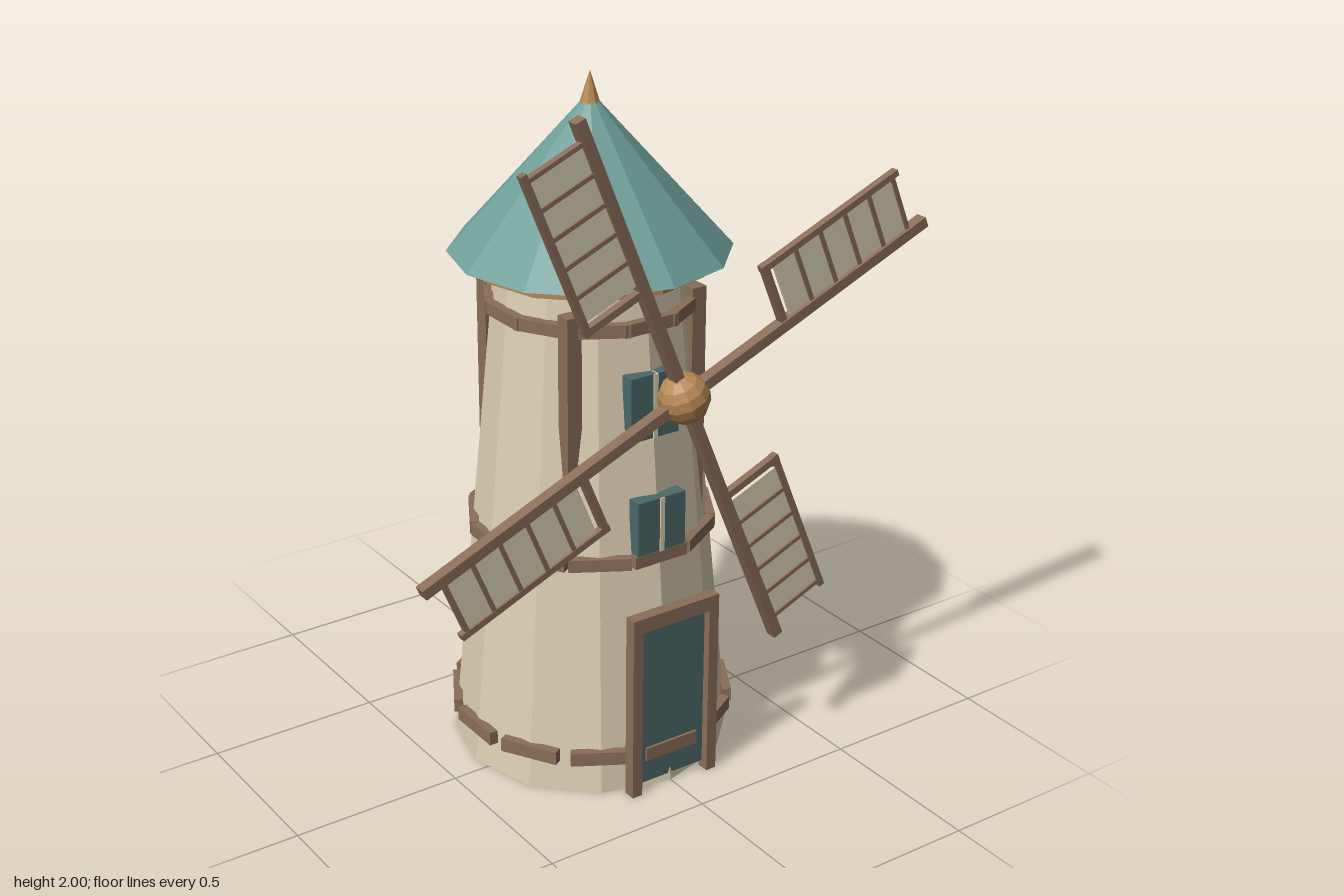
import * as THREE from 'three';

const mat = (color) => new THREE.MeshStandardMaterial({ color, flatShading: true });

export function createModel() {
  const plaster = mat(0xdccfb4), timber = mat(0x8b6e5a), teal = mat(0x4d686a);
  const roofTeal = mat(0x6f9f9a), oak = mat(0xb98955), canvas = mat(0xddd4b8);
  const AXIS_Z = -0.05;

  const model = new THREE.Group();
  model.name = 'windmill';

  const add = (parent, name, geometry, material, x = 0, y = 0, z = 0) => {
    const mesh = new THREE.Mesh(geometry, material);
    mesh.name = name;
    mesh.position.set(x, y, z);
    parent.add(mesh);
    return mesh;
  };
  const box = (parent, name, material, w, h, d, x, y, z) =>
    add(parent, name, new THREE.BoxGeometry(w, h, d), material, x, y, z);

  // Tapered tower, eave ring, conical roof and finial
  const building = new THREE.Group();
  building.name = 'building';
  building.position.z = AXIS_Z;
  model.add(building);
  add(building, 'tower', new THREE.CylinderGeometry(0.26, 0.4, 1.46, 12), plaster, 0, 0.73);
  add(building, 'eaveRing', new THREE.CylinderGeometry(0.335, 0.335, 0.035, 12), oak, 0, 1.464);
  add(building, 'roof', new THREE.ConeGeometry(0.39, 0.435, 12), roofTeal, 0, 1.697);
  add(building, 'finial', new THREE.ConeGeometry(0.032, 0.1, 8), oak, 0, 1.92);

  // Bands of twelve straight planks round the tower
  for (const [y, radius, height] of [[0.113, 0.391, 0.04], [0.688, 0.332, 0.036], [1.345, 0.278, 0.036]]) {
    const band = new THREE.Group();
    band.name = 'band';
    building.add(band);
    for (let i = 0; i < 12; i++) {
      const a = (i * Math.PI) / 6;
      const plank = box(band, 'plank', timber, 0.172, height, 0.026, Math.sin(a) * radius, y, Math.cos(a) * radius);
      plank.rotation.y = a;
    }
  }

  // Corner posts that sink into the sloping wall
  for (const sx of [-1, 1])
    for (const sz of [-1, 1])
      box(building, 'post', timber, 0.045, 0.69, 0.045, sx * 0.203, 1.045, sz * 0.203);

  // Door with frame
  const door = new THREE.Group();
  door.name = 'door';
  model.add(door);
  box(door, 'doorPanel', teal, 0.224, 0.48, 0.022, 0, 0.262, 0.335);
  for (const s of [-1, 1]) box(door, 'doorJamb', timber, 0.032, 0.52, 0.036, s * 0.128, 0.26, 0.351);
  box(door, 'lintel', timber, 0.288, 0.044, 0.036, 0, 0.538, 0.351);

  // Two windows, each split by a mullion
  for (const [y, h, z] of [[0.785, 0.16, 0.273], [1.122, 0.185, 0.237]]) {
    const win = new THREE.Group();
    win.name = 'window';
    model.add(win);
    box(win, 'pane', teal, 0.156, h, 0.042, 0, y, z);
    box(win, 'mullion', plaster, 0.014, h, 0.05, 0, y, z);
  }

  // Hub and four sails
  const rotor = new THREE.Group();
  rotor.name = 'rotor';
  rotor.position.set(0, 1.19, 0.385);
  rotor.rotation.z = Math.PI / 8;
  model.add(rotor);
  add(rotor, 'hub', new THREE.SphereGeometry(0.071, 10, 8), oak);
  for (let i = 0; i < 4; i++) {
    const sail = new THREE.Group();
    sail.name = 'sail';
    sail.rotation.z = (i * Math.PI) / 2;
    rotor.add(sail);
    box(sail, 'arm', timber, 0.87, 0.03, 0.034, 0.435, 0, 0);
    box(sail, 'outerRail', timber, 0.49, 0.018, 0.022, 0.585, 0.188, 0);
    box(sail, 'innerBar', timber, 0.02, 0.19, 0.022, 0.352, 0.103, 0);
    box(sail, 'cloth', canvas, 0.43, 0.165, 0.008, 0.593, 0.097, 0);
    for (let j = 0; j < 5; j++)
      box(sail, 'rung', timber, 0.012, 0.17, 0.02, 0.455 + j * 0.0885, 0.1, 0);
  }

  return model;
}
